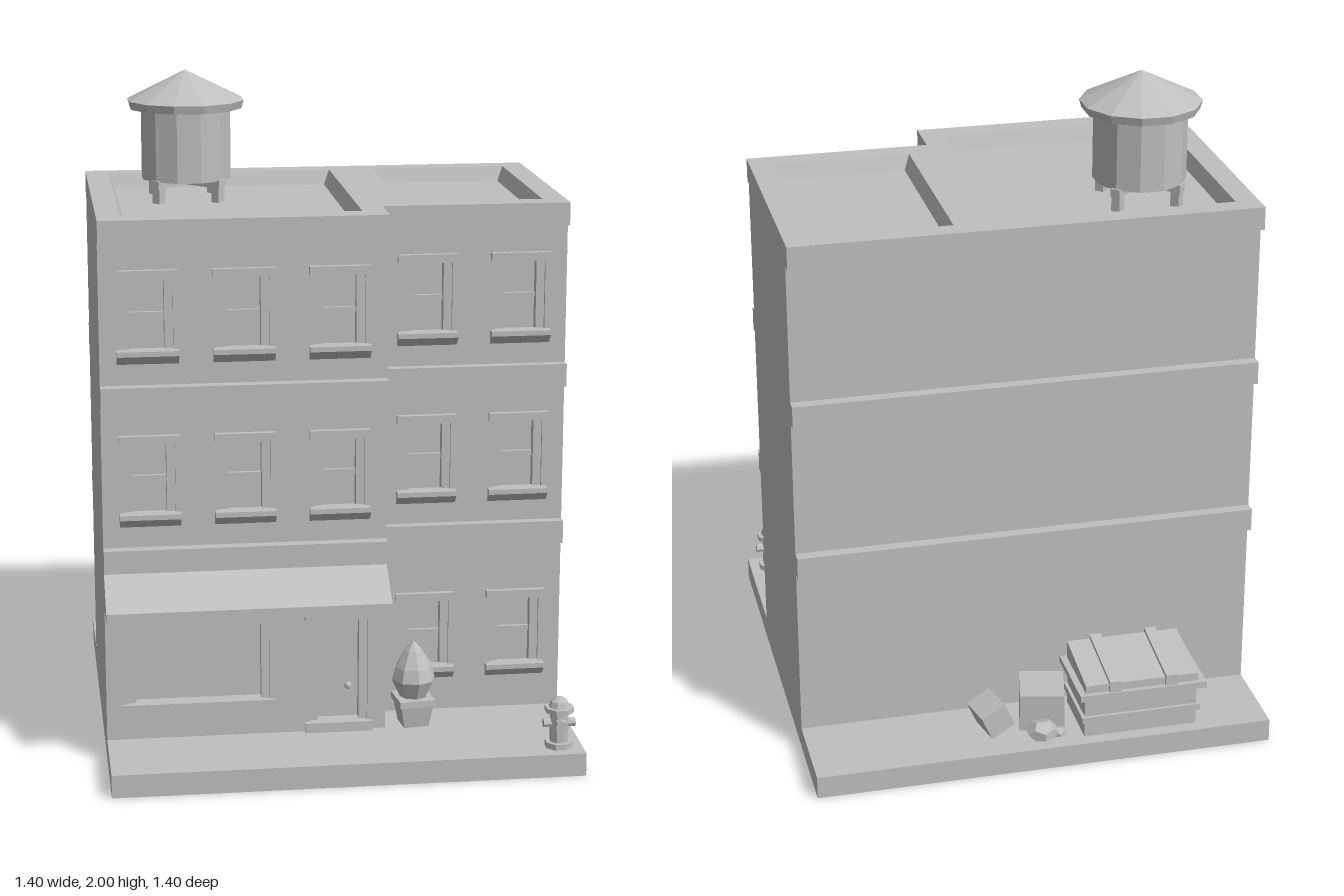
import * as THREE from 'three';

const gray = new THREE.MeshStandardMaterial({ color: 0xbfbfbf });
gray.name = 'plain gray';

const GROUND = 0.07, FRONT_L = 0.42, FRONT_R = 0.28, BACK = -0.42, SPLIT = 0.14, LIP = 0.035, REVEAL = 0.04;

// Adds a faceted mesh with one normal per face
function add(parent, name, geometry, x = 0, y = 0, z = 0) {
  const g = geometry.index ? geometry.toNonIndexed() : geometry;
  g.clearGroups();
  g.computeVertexNormals();
  const mesh = new THREE.Mesh(g, gray);
  mesh.name = name;
  mesh.position.set(x, y, z);
  parent.add(mesh);
  return mesh;
}

function group(parent, name, x = 0, y = 0, z = 0) {
  const g = new THREE.Group();
  g.name = name;
  g.position.set(x, y, z);
  parent.add(g);
  return g;
}

// Box given by its limits on each axis
function block(parent, name, x0, x1, y0, y1, z0, z1) {
  return add(parent, name, new THREE.BoxGeometry(x1 - x0, y1 - y0, z1 - z0),
    (x0 + x1) / 2, (y0 + y1) / 2, (z0 + z1) / 2);
}

const polygon = (points) => new THREE.Shape(points.map(([a, b]) => new THREE.Vector2(a, b)));
const rect = (x0, x1, y0, y1) => [[x0, y0], [x1, y0], [x1, y1], [x0, y1]];
const extrude = (shape, depth) => new THREE.ExtrudeGeometry(shape, { depth, bevelEnabled: false });

// Profile of [z, y] points swept along x
function prism(parent, name, points, x0, x1) {
  const g = extrude(polygon(points.map(([z, y]) => [-z, y])), x1 - x0).rotateY(Math.PI / 2);
  return add(parent, name, g, x0);
}

const lathe = (points, sides) =>
  new THREE.LatheGeometry(points.map(([r, y]) => new THREE.Vector2(r, y)), sides);

// Front wall with rectangular openings in front of a solid core
function wing(parent, name, x0, x1, front, openings) {
  const g = group(parent, name);
  block(g, 'wallCore', x0, x1, GROUND, 1.6, BACK, front - REVEAL);
  const shape = polygon(rect(x0, x1, GROUND, 1.6));
  for (const o of openings) shape.holes.push(polygon(rect(...o)));
  add(g, 'frontWall', extrude(shape, REVEAL), 0, 0, front - REVEAL);
  return g;
}

// Jambs and lintel around an opening
function surround(parent, x0, x1, y0, y1, front) {
  for (const x of [x0, x1 - 0.025]) block(parent, 'jamb', x, x + 0.025, y0, y1, front - REVEAL, front - 0.01);
  block(parent, 'lintel', x0 - 0.015, x1 + 0.015, y1, y1 + 0.025, front - 0.02, front + 0.018);
}

function sashWindow(parent, x, y, front) {
  const g = group(parent, 'window');
  surround(g, x - 0.075, x + 0.075, y, y + 0.225, front);
  block(g, 'middleRail', x - 0.05, x + 0.05, y + 0.105, y + 0.12, front - REVEAL, front - 0.028);
  prism(g, 'sill', [[front - 0.02, y + 0.015], [front + 0.03, y + 0.015], [front + 0.03, y],
    [front, y - 0.028], [front - 0.02, y - 0.028]], x - 0.09, x + 0.09);
}

// Open-topped tray with sloping sides, seen from inside
function roofTray(parent, x0, x1, z0, z1) {
  const depth = 0.045, inset = 0.018;
  const g = new THREE.BoxGeometry(x1 - x0, depth, z1 - z0);
  const p = g.attributes.position;
  for (let i = 0; i < p.count; i++) {
    if (p.getY(i) > 0) continue;
    p.setX(i, p.getX(i) - Math.sign(p.getX(i)) * inset);
    p.setZ(i, p.getZ(i) - Math.sign(p.getZ(i)) * inset);
  }
  const faces = Array.from(g.index.array);
  faces.splice(12, 6); // remove the lid
  g.setIndex(faces.reverse()); // turn the faces inward
  add(parent, 'roofTray', g, (x0 + x1) / 2, 1.65 - depth / 2, (z0 + z1) / 2);
}

function waterTank(parent) {
  const g = group(parent, 'waterTank', -0.4, 0, -0.175);
  for (const turn of [1, -1]) {
    const beam = add(g, 'crossBeam', new THREE.BoxGeometry(0.29, 0.025, 0.03), 0, 1.662, 0);
    beam.rotation.y = turn * Math.PI / 4;
    for (const side of [-1, 1]) {
      const leg = add(g, 'leg', new THREE.BoxGeometry(0.028, 0.05, 0.028), side * 0.09, 1.627, turn * side * 0.09);
      leg.rotation.y = Math.PI / 4;
    }
  }
  const turn = Math.PI / 12;
  add(g, 'barrel', new THREE.CylinderGeometry(0.139, 0.139, 0.22, 12).rotateY(turn), 0, 1.78, 0);
  add(g, 'conicalRoof', lathe([[0, 1.885], [0.174, 1.885], [0.181, 1.91], [0, 2]], 12).rotateY(turn));
}

function planter(parent) {
  const g = group(parent, 'planter', 0.23, GROUND, 0.39);
  g.rotation.y = 0.12;
  const square = (top, bottom, h) =>
    new THREE.CylinderGeometry(top * Math.SQRT2, bottom * Math.SQRT2, h, 4).rotateY(Math.PI / 4);
  add(g, 'pot', square(0.05, 0.038, 0.07), 0, 0.035, 0);
  add(g, 'potRim', square(0.055, 0.055, 0.02), 0, 0.078, 0);
  add(g, 'bush', lathe([[0, 0.085], [0.042, 0.09], [0.067, 0.145], [0.056, 0.185], [0.027, 0.235], [0, 0.265]], 8));
}

function hydrant(parent) {
  const g = group(parent, 'hydrant', 0.63, GROUND, 0.63);
  add(g, 'hydrantBody', lathe([[0, 0], [0.042, 0], [0.042, 0.018], [0.028, 0.018], [0.028, 0.11], [0.044, 0.11],
    [0.044, 0.125], [0.032, 0.125], [0.026, 0.143], [0.012, 0.153], [0, 0.155]], 8).rotateY(Math.PI / 8));
  const nozzle = (r, l) => new THREE.CylinderGeometry(r, r, l, 8).rotateX(Math.PI / 2);
  add(g, 'frontNozzle', nozzle(0.02, 0.045), 0, 0.075, 0.025);
  add(g, 'sideNozzles', nozzle(0.014, 0.096).rotateY(Math.PI / 2), 0, 0.075, 0);
}

function dumpster(parent) {
  const g = group(parent, 'dumpster');
  block(g, 'bin', -0.475, -0.125, GROUND, 0.21, -0.66, -0.455);
  block(g, 'lowerBand', -0.485, -0.115, 0.12, 0.14, -0.67, -0.45);
  block(g, 'binRim', -0.5, -0.105, 0.205, 0.225, -0.685, -0.435);
  prism(g, 'lid', [[-0.445, 0.22], [-0.445, 0.28], [-0.67, 0.25], [-0.67, 0.22]], -0.475, -0.125);
  for (const x of [-0.39, -0.215]) {
    prism(g, 'lidRib', [[-0.44, 0.22], [-0.44, 0.292], [-0.68, 0.26], [-0.68, 0.22]], x - 0.018, x + 0.018);
  }
}

function rubbish(parent) {
  const g = group(parent, 'rubbish');
  add(g, 'largeCrate', new THREE.BoxGeometry(0.135, 0.12, 0.15), -0.025, 0.13, -0.525).rotation.y = -0.22;
  add(g, 'tippedCrate', new THREE.BoxGeometry(0.083, 0.083, 0.11), 0.14, 0.123, -0.55).rotation.set(0, 0.22, -0.42, 'YXZ');
  for (const [x, r] of [[0, 0.05], [-0.05, 0.025]]) {
    const bag = add(g, 'bag', new THREE.DodecahedronGeometry(r), x, GROUND + r * 0.5, -0.635);
    bag.scale.y = 0.6;
  }
}

export function createModel() {
  const model = new THREE.Group();
  model.name = 'cornerBuilding';
  block(model, 'pavement', -0.7, 0.7, 0, GROUND, -0.7, 0.7);

  // Wings and their openings
  const opening = (x, y) => [x - 0.075, x + 0.075, y, y + 0.225];
  const leftSpots = [], rightSpots = [];
  for (const y of [0.76, 1.25]) for (const x of [-0.56, -0.28, 0]) leftSpots.push([x, y]);
  for (const y of [0.2, 0.76, 1.25]) for (const x of [0.28, 0.56]) rightSpots.push([x, y]);
  const shop = [-0.635, -0.21, 0.18, 0.425], doorway = [-0.09, 0.085, 0.1, 0.425];
  const main = wing(model, 'mainWing', -0.7, SPLIT, FRONT_L,
    [...leftSpots.map((s) => opening(...s)), shop, doorway]);
  const side = wing(model, 'sideWing', SPLIT, 0.7, FRONT_R, rightSpots.map((s) => opening(...s)));
  for (const [x, y] of leftSpots) sashWindow(main, x, y, FRONT_L);
  for (const [x, y] of rightSpots) sashWindow(side, x, y, FRONT_R);

  // Shop front
  surround(main, ...shop, FRONT_L);
  block(main, 'shopSill', -0.65, -0.195, 0.16, 0.18, FRONT_L - REVEAL, FRONT_L + 0.012);
  surround(main, ...doorway, FRONT_L);
  block(main, 'doorStep', -0.105, 0.1, GROUND, 0.1, FRONT_L - REVEAL, FRONT_L + 0.018);
  block(main, 'doorTopPanel', -0.065, 0.06, 0.37, 0.425, FRONT_L - REVEAL, FRONT_L - 0.03);
  add(main, 'doorKnob', new THREE.SphereGeometry(0.011, 8, 6), 0.03, 0.2, FRONT_L - 0.03);
  prism(main, 'awning', [[0.42, 0.48], [0.555, 0.48], [0.555, 0.51], [0.42, 0.6]], -0.7, SPLIT);

  // Ledges around the front and back; the top one is the parapet
  const trays = [[-0.63, 0.07, -0.39, 0.38], [0.21, 0.63, -0.39, 0.24]];
  for (const y of [0.6, 1.09, 1.58]) {
    const back = -(BACK - LIP), l = -(FRONT_L + LIP), r = -(FRONT_R + 0.03);
    const shape = polygon([[-0.7, l], [SPLIT, l], [SPLIT, r], [0.7, r], [0.7, back], [-0.7, back]]);
    const parapet = y > 1.5;
    if (parapet) for (const [x0, x1, z0, z1] of trays) shape.holes.push(polygon(rect(x0, x1, -z1, -z0)));
    add(model, parapet ? 'parapet' : 'ledge', extrude(shape, 0.07).rotateX(-Math.PI / 2), 0, y, 0);
  }
  for (const t of trays) roofTray(model, ...t);

  waterTank(model);
  planter(model);
  hydrant(model);
  dumpster(model);
  rubbish(model);
  return model;
}
